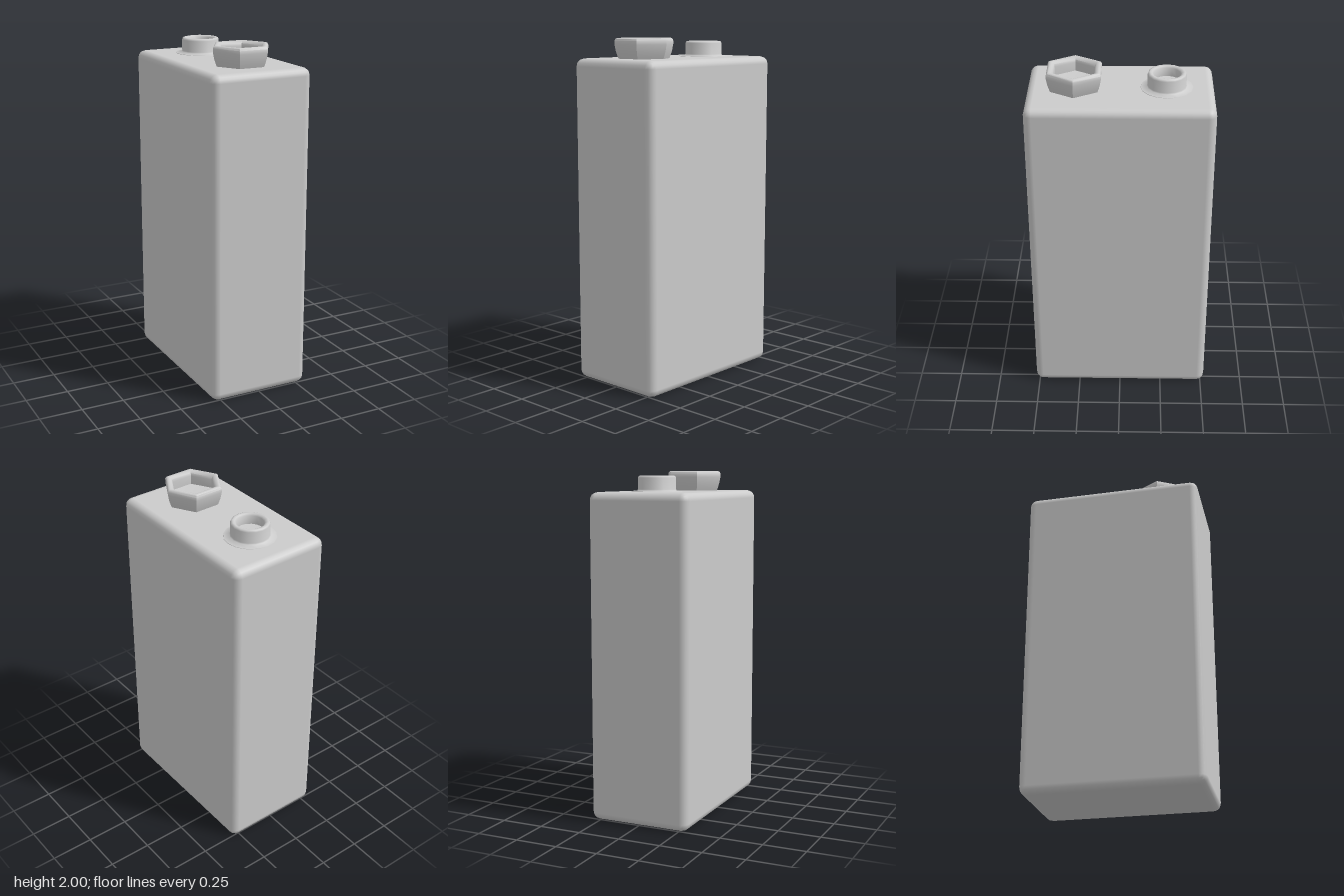
import * as THREE from 'three';
import { RoundedBoxGeometry } from 'three/addons/geometries/RoundedBoxGeometry.js';
import { toCreasedNormals } from 'three/addons/utils/BufferGeometryUtils.js';

const material = new THREE.MeshStandardMaterial({ color: 0xcccccc });

// Height of the case, on which both terminals stand
const CASE_TOP = 1.885;

// A terminal turned from [radius, height above case] points
function terminal(name, profile, sides, z) {
  const points = profile.map(([r, y]) => new THREE.Vector2(r, y));
  const lathe = new THREE.LatheGeometry(points, sides);
  lathe.rotateY(Math.PI / sides);
  if (sides === 16) lathe.rotateY(-Math.PI / sides);
  const mesh = new THREE.Mesh(toCreasedNormals(lathe, 0.95), material);
  mesh.name = name;
  mesh.position.set(0, CASE_TOP, z);
  return mesh;
}

export function createModel() {
  const model = new THREE.Group();
  model.name = 'battery';

  // Case with softened edges
  const body = new THREE.Mesh(new RoundedBoxGeometry(0.608, CASE_TOP, 1.042, 2, 0.045), material);
  body.name = 'case';
  body.position.y = CASE_TOP / 2;
  model.add(body);

  // Round post on a thin flange, with a hollow middle
  model.add(terminal('roundTerminal', [
    [0.148, -0.002], [0.146, 0.002], [0.112, 0.007], [0.108, 0.014],
    [0.108, 0.078], [0.104, 0.087], [0.095, 0.09], [0.084, 0.087],
    [0.076, 0.078], [0.076, 0.03], [0, 0.025],
  ], 16, -0.256));

  // Flared six-sided cup
  model.add(terminal('hexTerminal', [
    [0.148, -0.005], [0.156, 0.015], [0.166, 0.045], [0.173, 0.08],
    [0.173, 0.1], [0.168, 0.11], [0.158, 0.115], [0.143, 0.112],
    [0.132, 0.1], [0.128, 0.085], [0.128, 0.035], [0, 0.025],
  ], 6, 0.256));

  return model;
}
